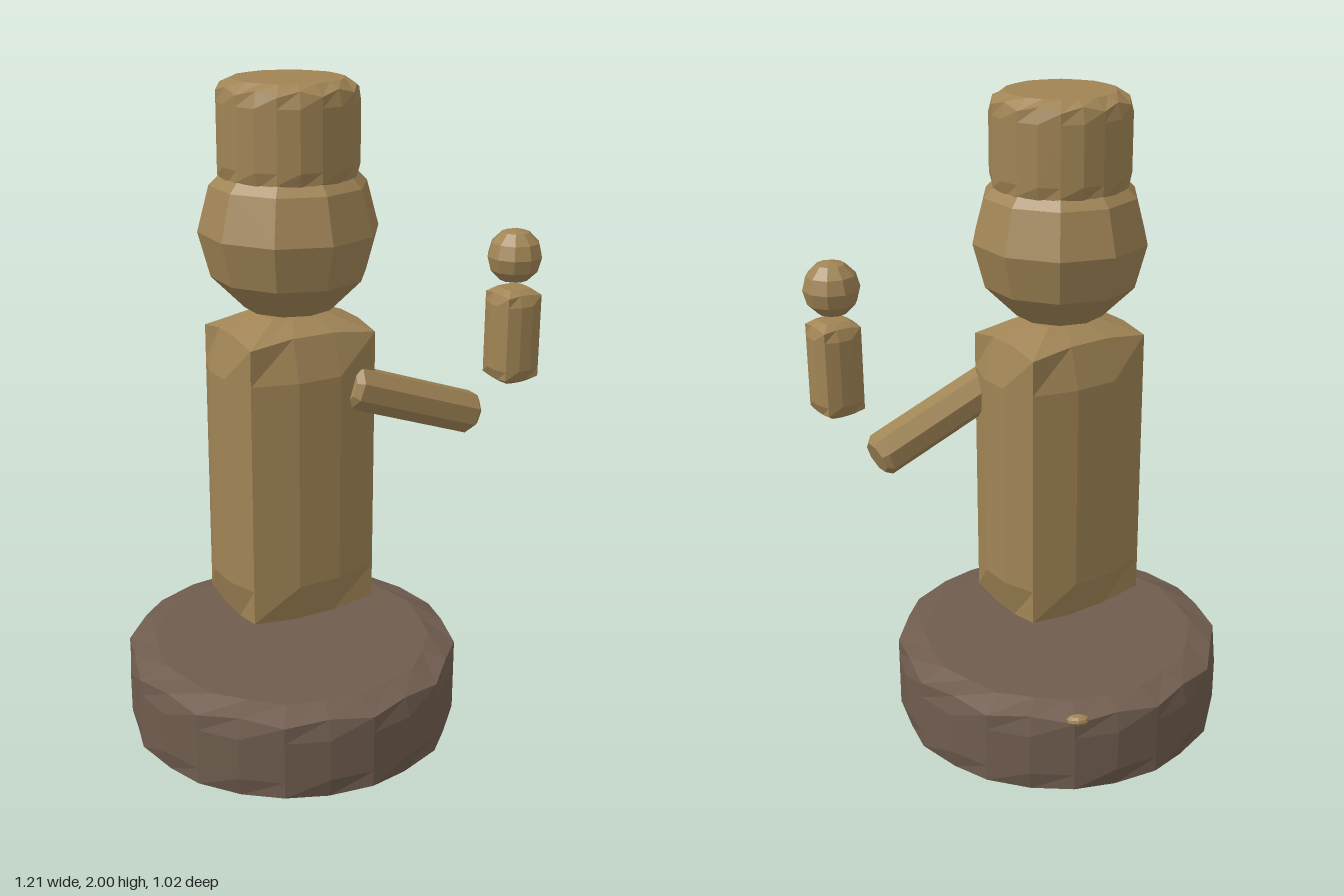
import * as THREE from 'three';

const AXIS_X = -0.095; // figure and base are centred here

// Corner points of a regular polygon, and of a rectangle, in plan (x, z)
const polygon = (n, r, turn = 0) => Array.from({ length: n }, (_, i) => {
  const a = turn + (i / n) * Math.PI * 2;
  return [Math.sin(a) * r, Math.cos(a) * r];
});
const rectangle = (x, z) => [[-x, z], [x, z], [x, -z], [-x, -z]];

function facet(geometry) {
  const g = geometry.index ? geometry.toNonIndexed() : geometry;
  g.computeVertexNormals();
  return g;
}

// Carved prism: straight corner edges, walls that bulge between them.
// Each ring is [y, scale, bulge, lift of the wall middles].
function carvedPrism(corners, rings, steps) {
  const pos = [], index = [], count = corners.length * steps;
  for (const [y, s, bulge, lift] of rings) {
    corners.forEach(([x, z], i) => {
      const [x2, z2] = corners[(i + 1) % corners.length];
      const dx = x2 - x, dz = z2 - z, len = Math.hypot(dx, dz);
      for (let k = 0; k < steps; k++) {
        const t = k / steps, w = Math.sin(Math.PI * t);
        pos.push((x + dx * t) * s - (dz / len) * bulge * w, y + lift * w,
          (z + dz * t) * s + (dx / len) * bulge * w);
      }
    });
  }
  const last = (rings.length - 1) * count, bottom = rings.length * count;
  pos.push(0, rings[0][0], 0, 0, rings[rings.length - 1][0], 0);
  for (let i = 0; i < count; i++) {
    const j = (i + 1) % count;
    for (let r = 0; r < last; r += count) {
      index.push(r + i, r + j, r + count + j, r + i, r + count + j, r + count + i);
    }
    index.push(bottom, j, i, bottom + 1, last + i, last + j);
  }
  const g = new THREE.BufferGeometry();
  g.setAttribute('position', new THREE.Float32BufferAttribute(pos, 3));
  g.setIndex(index);
  return facet(g);
}

// Symmetric ring set: domed cap, crease, bulging wall, crease, domed cap
const roundedRings = (y0, y1, dome, shoulder, cap, bulge, lift) => [
  [y0, cap, bulge * 0.3, 0],
  [y0 + dome, 1, 0, -lift],
  [y0 + shoulder, 1, bulge, 0],
  [y1 - shoulder, 1, bulge, 0],
  [y1 - dome, 1, 0, lift],
  [y1, cap, bulge * 0.3, 0],
];

function facetedBall(r, sides, rows) {
  return facet(new THREE.SphereGeometry(r, sides, rows).rotateY(Math.PI / 2));
}

export function createModel() {
  const model = new THREE.Group();
  const wood = new THREE.MeshStandardMaterial({ color: 0xa08455 });
  const darkWood = new THREE.MeshStandardMaterial({ color: 0x6f5c4e });
  wood.name = 'carvedWood';
  darkWood.name = 'darkWood';

  const add = (name, geometry, material, x, y, z) => {
    const mesh = new THREE.Mesh(geometry, material);
    mesh.name = name;
    mesh.position.set(x, y, z);
    model.add(mesh);
    return mesh;
  };

  // Round base
  add('base', carvedPrism(polygon(12, 0.51),
    roundedRings(0, 0.29, 0.03, 0.08, 0.84, 0.015, 0.012), 2), darkWood, AXIS_X, 0, 0);

  // Torso, floating just above the base
  add('torso', carvedPrism(rectangle(0.2, 0.15),
    roundedRings(0.385, 1.34, 0.055, 0.16, 0.43, 0.041, 0.02), 3), wood, AXIS_X, 0, 0);

  // Head and tall round hat
  add('head', facetedBall(0.26, 10, 6), wood, AXIS_X, 1.58, 0);
  add('hat', carvedPrism(polygon(10, 0.2),
    roundedRings(1.71, 2, 0.03, 0.06, 0.8, 0.012, 0.015), 2), wood, AXIS_X, 0, 0);

  // Outstretched arm
  const arm = add('arm', carvedPrism(polygon(8, 0.066, Math.PI / 8),
    roundedRings(-0.232, 0.232, 0.018, 0.05, 0.75, 0.003, 0.004), 1), wood, 0.237, 1.053, 0.143);
  arm.rotation.z = -Math.PI / 2 - 0.35;

  // Small companion figure
  add('smallBody', carvedPrism(rectangle(0.058, 0.058),
    roundedRings(1.1, 1.385, 0.018, 0.045, 0.6, 0.015, 0.006), 3), wood, 0.523, 0, 0.24);
  add('smallHead', facetedBall(0.082, 10, 6), wood, 0.523, 1.478, 0.236);

  // Peg tip just showing through the rim of the base
  const peg = add('pegTip', facetedBall(0.03, 8, 6), wood, 0.142, 0.262, -0.43);
  peg.scale.set(1.2, 0.55, 0.7);
  peg.rotation.y = -0.5;

  return model;
}
